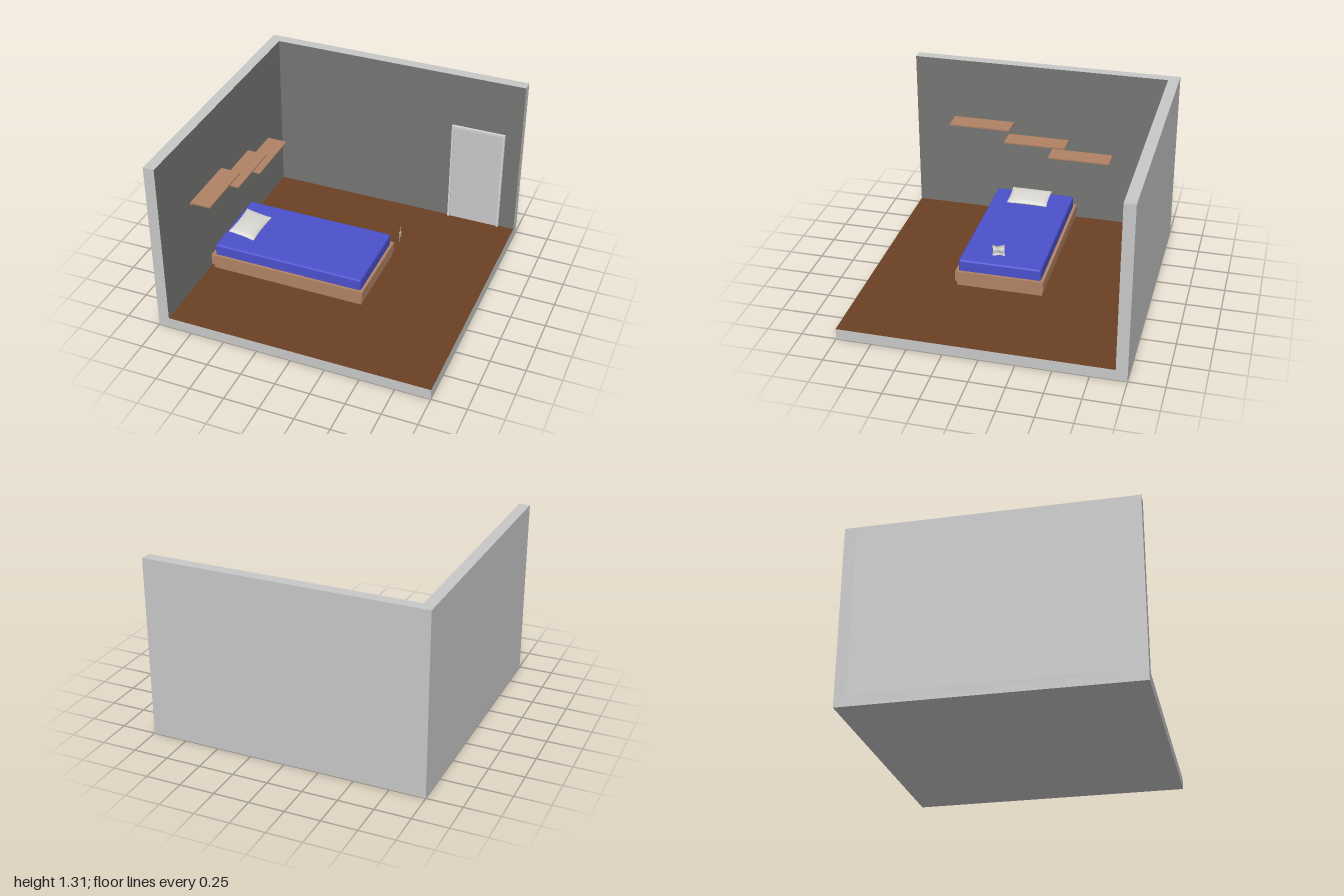
import * as THREE from 'three';
import { RoundedBoxGeometry } from 'three/addons/geometries/RoundedBoxGeometry.js';

const mat = (name, color, side = THREE.FrontSide) => {
  const m = new THREE.MeshStandardMaterial({ color, side });
  m.name = name;
  return m;
};

export function createModel() {
  const room = new THREE.Group();
  room.name = 'bedroom';

  const plaster = mat('light plaster', 0xc8c8c8);
  const wallPaint = mat('grey wall paint', 0x757572);
  const floorWood = mat('dark floor wood', 0x6b4023);
  const wood = mat('light wood', 0xb08264);
  const blue = mat('blue mattress', 0x4b50cc);
  const cloth = mat('white cloth', 0xd8d6d0, THREE.DoubleSide);
  const trim = mat('door trim', 0xd6d6d6);

  const add = (name, geometry, material, parent = room) => {
    const mesh = new THREE.Mesh(geometry, material);
    mesh.name = name;
    parent.add(mesh);
    return mesh;
  };
  // Box given by its lower and upper limits on each axis
  const box = (name, [x0, x1], [y0, y1], [z0, z1], material, parent) => {
    const mesh = add(name, new THREE.BoxGeometry(x1 - x0, y1 - y0, z1 - z0), material, parent);
    mesh.position.set((x0 + x1) / 2, (y0 + y1) / 2, (z0 + z1) / 2);
    return mesh;
  };
  // Six box faces in plaster except one (0 = +x, 2 = +y, 4 = +z)
  const painted = (face, paint) => Array.from({ length: 6 }, (_, i) => (i === face ? paint : plaster));

  // Room shell
  box('floor', [-1, 1], [0, 0.08], [-1, 1], painted(2, floorWood));
  box('backWall', [-1, 1], [0.08, 1.305], [-1, -0.92], painted(4, wallPaint));
  box('sideWall', [-1, -0.92], [0.08, 1.305], [-0.92, 1], painted(0, wallPaint));

  // Door with a raised surround
  const door = new THREE.Group();
  door.name = 'door';
  room.add(door);
  box('doorPanel', [0.49, 0.865], [0.08, 0.872], [-0.92, -0.911], plaster, door);
  for (const x of [0.475, 0.865]) box('doorJamb', [x, x + 0.015], [0.08, 0.872], [-0.92, -0.902], trim, door);
  box('doorHead', [0.475, 0.88], [0.872, 0.89], [-0.92, -0.902], trim, door);

  // Bed
  const bed = new THREE.Group();
  bed.name = 'bed';
  room.add(bed);
  box('bedPlinth', [-0.893, 0.26], [0.08, 0.117], [-0.262, 0.36], wood, bed);
  box('bedFrame', [-0.905, 0.27], [0.117, 0.195], [-0.272, 0.37], wood, bed);
  const mattress = add('mattress', new RoundedBoxGeometry(1.13, 0.1, 0.6, 3, 0.014), blue, bed);
  mattress.position.set(-0.315, 0.23, 0.05);

  // Pillow: a box grid swollen in the middle and pinched along its edges
  const pillowShape = new THREE.BoxGeometry(2, 2, 2, 16, 1, 24);
  const p = pillowShape.attributes.position;
  for (let i = 0; i < p.count; i++) {
    const u = p.getX(i), v = p.getZ(i);
    const swell = Math.pow((1 - u * u) * (1 - v * v), 0.4);
    p.setXYZ(
      i,
      0.1 * u * (1 - 0.06 * (1 - v * v)),
      Math.sign(p.getY(i)) * (0.002 + 0.024 * swell),
      0.155 * v * (1 - 0.04 * (1 - u * u))
    );
  }
  pillowShape.computeVertexNormals();
  const pillow = add('pillow', pillowShape, cloth, bed);
  pillow.position.set(-0.733, 0.31, 0.065);
  pillow.rotation.z = -0.15;

  // Staggered wall shelves: thin board with a small rear lip
  for (const [y, z] of [[0.867, 0.452], [0.766, 0.027], [0.678, -0.313]]) {
    const shelf = new THREE.Group();
    shelf.name = 'shelf';
    room.add(shelf);
    const span = [z - 0.232, z + 0.232];
    box('shelfBoard', [-0.86, -0.71], [y - 0.01, y], span, wood, shelf);
    box('shelfLip', [-0.86, -0.848], [y - 0.018, y - 0.01], span, wood, shelf);
  }

  // Small crumpled cloth hanging upright beyond the bed
  const clothShape = new THREE.PlaneGeometry(0.086, 0.084, 10, 10);
  const c = clothShape.attributes.position;
  for (let i = 0; i < c.count; i++) {
    const u = c.getX(i) / 0.043, v = c.getY(i) / 0.042;
    c.setXYZ(i, c.getX(i) * (0.92 + 0.08 * v * v), c.getY(i) * (0.9 + 0.1 * u * u),
      0.004 * Math.sin(4 * u + 2 * v) + 0.003 * Math.cos(5 * v));
  }
  clothShape.computeVertexNormals();
  const scrap = add('smallCloth', clothShape, cloth);
  scrap.position.set(0.413, 0.503, 0.01);
  scrap.rotation.y = Math.PI / 2 + 0.22;

  return room;
}
